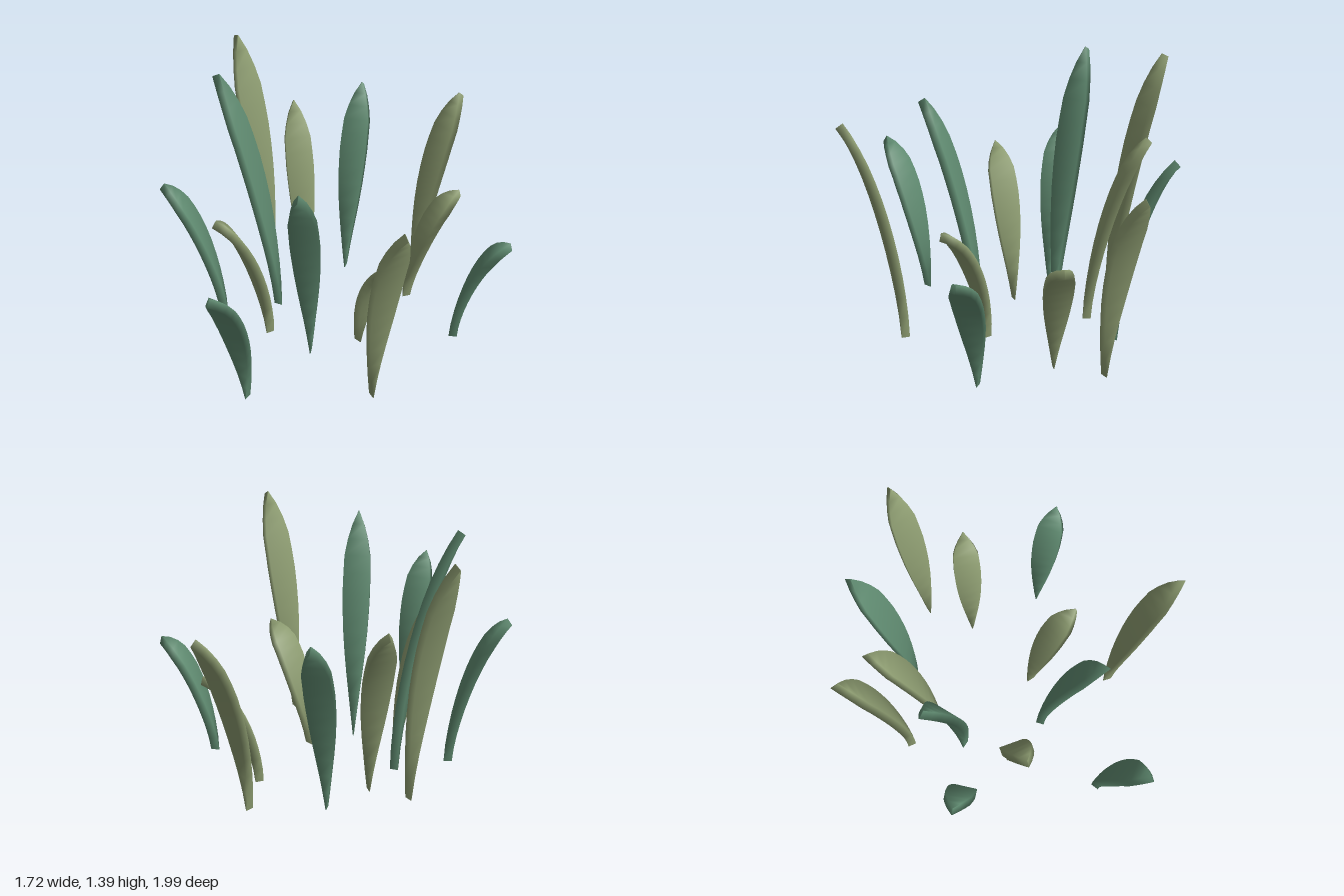
import * as THREE from 'three';

const GREEN = 0x5f8a70, OLIVE = 0x8c9b70;
const THICK = 0.044, DROOP = 0.27, STEPS = 12;

// each leaf: base x, base z, tip x, tip z, tip height, colour
const LEAVES = [
  [-0.02, -0.68, 0.0, -0.98, 1.03, OLIVE],
  [0.13, -0.46, 0.26, -0.71, 0.64, OLIVE],
  [0.54, -0.39, 0.76, -0.54, 0.64, GREEN],
  [0.21, 0.0, 0.49, 0.0, 0.64, OLIVE],
  [0.56, 0.25, 0.84, 0.34, 1.2, OLIVE],
  [0.10, 0.24, 0.28, 0.48, 1.19, GREEN],
  [0.13, 0.71, 0.21, 0.985, 0.82, GREEN],
  [-0.165, 0.29, -0.24, 0.57, 0.82, OLIVE],
  [-0.465, 0.36, -0.68, 0.55, 0.82, GREEN],
  [-0.31, 0.10, -0.60, 0.22, 1.38, GREEN],
  [-0.55, -0.07, -0.845, -0.125, 1.38, OLIVE],
  [-0.34, -0.14, -0.60, -0.30, 1.01, OLIVE],
  [-0.30, -0.41, -0.45, -0.68, 1.03, GREEN],
];

// blade width along its length
const WIDTHS = [[0, 0.004], [0.15, 0.052], [0.3, 0.102], [0.45, 0.135], [0.6, 0.146], [0.75, 0.136], [0.88, 0.088], [1, 0.004]];
function widthAt(t) {
  let i = 0;
  while (i < WIDTHS.length - 2 && t > WIDTHS[i + 1][0]) i++;
  const [t0, w0] = WIDTHS[i], [t1, w1] = WIDTHS[i + 1];
  return THREE.MathUtils.lerp(w0, w1, (t - t0) / (t1 - t0));
}

// blade with a flat rectangular section swept along an outward-drooping arc
function bladeGeometry(bx, bz, tx, tz, height) {
  const reach = Math.hypot(tx - bx, tz - bz);
  const out = new THREE.Vector3((tx - bx) / reach, 0, (tz - bz) / reach);
  const up = new THREE.Vector3(0, 1, 0);
  const side = new THREE.Vector3().crossVectors(up, out);
  const pos = [], index = [];
  for (let i = 0; i <= STEPS; i++) {
    const t = i / STEPS;
    const r = reach * Math.pow(t, 1.5);
    const y = 0.005 + (height + DROOP) * t - DROOP * t ** 3;
    const slope = new THREE.Vector2(1.5 * reach * Math.sqrt(t), height + DROOP - 3 * DROOP * t * t).normalize();
    const normal = out.clone().multiplyScalar(slope.y).addScaledVector(up, -slope.x);
    const centre = new THREE.Vector3(bx, y, bz).addScaledVector(out, r);
    for (const [n, s] of [[1, 1], [-1, 1], [-1, -1], [1, -1]]) {
      const p = centre.clone()
        .addScaledVector(normal, n * THICK / 2)
        .addScaledVector(side, s * widthAt(t) / 2);
      pos.push(p.x, Math.max(p.y, 0), p.z);
    }
    if (i === STEPS) break;
    for (let j = 0; j < 4; j++) {
      const a = i * 4 + j, b = i * 4 + (j + 1) % 4;
      index.push(a, b, b + 4, a, b + 4, a + 4);
    }
  }
  const k = STEPS * 4;
  index.push(0, 2, 1, 0, 3, 2, k, k + 1, k + 2, k, k + 2, k + 3);
  const g = new THREE.BufferGeometry();
  g.setAttribute('position', new THREE.Float32BufferAttribute(pos, 3));
  g.setIndex(index);
  g.computeVertexNormals();
  return g;
}

export function createModel() {
  const group = new THREE.Group();
  group.name = 'leafCluster';
  const materials = {};
  for (const c of [GREEN, OLIVE]) materials[c] = new THREE.MeshStandardMaterial({ color: c });
  LEAVES.forEach(([bx, bz, tx, tz, h, color], i) => {
    const leaf = new THREE.Mesh(bladeGeometry(bx, bz, tx, tz, h), materials[color]);
    leaf.name = `leaf${i + 1}`;
    group.add(leaf);
  });
  return group;
}
